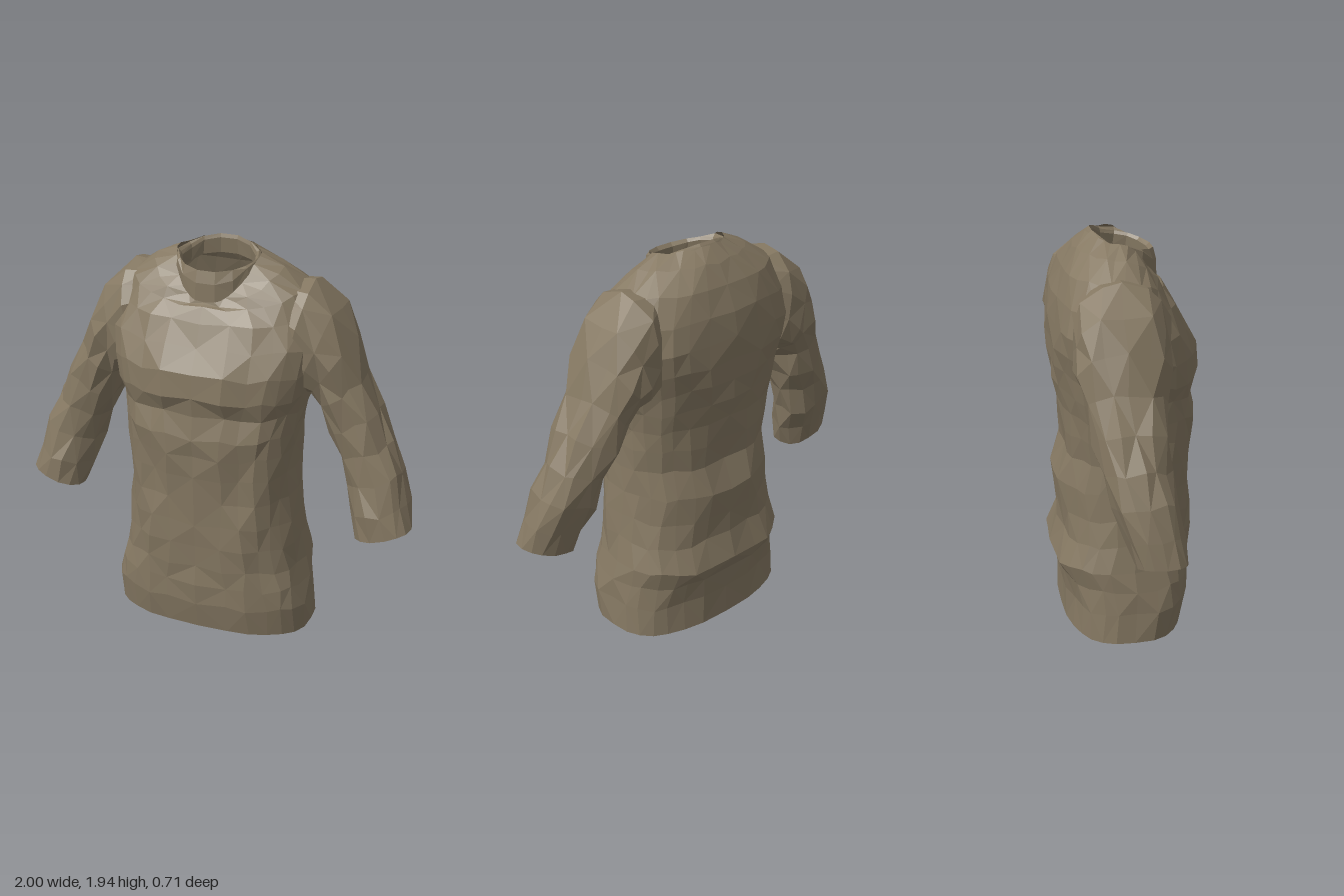
import * as THREE from 'three';

// Crumple: a repeatable ripple, the same on both sides of x = 0
function ripple(p, amount) {
  const x = Math.abs(p.x), { y, z } = p;
  const wave = (k) => Math.sin(31 * x + 19 * y + 7 * z + k) * Math.sin(13 * x - 23 * y + 29 * z + 2 * k);
  const side = Math.sign(p.x) * Math.min(1, x * 8);
  return new THREE.Vector3(p.x + side * amount * wave(1), y + amount * wave(3), z + amount * wave(5));
}

// Skin a list of closed rings, with the diagonals alternating like folded cloth
function loft(rings) {
  const n = rings[0].length;
  const positions = rings.flat().flatMap((p) => [p.x, p.y, p.z]);
  const index = [];
  for (let i = 0; i < rings.length - 1; i++) {
    for (let j = 0; j < n; j++) {
      const k = (j + 1) % n;
      const a = i * n + j, b = a + n, c = i * n + k, d = c + n;
      if ((i + j) % 2) index.push(a, b, c, c, b, d);
      else index.push(a, b, d, a, d, c);
    }
  }
  const geometry = new THREE.BufferGeometry();
  geometry.setAttribute('position', new THREE.Float32BufferAttribute(positions, 3));
  geometry.setIndex(index);
  const flat = geometry.toNonIndexed();
  flat.computeVertexNormals();
  return flat;
}

const power = (v, e) => Math.sign(v) * Math.abs(v) ** e;

// Horizontal ring whose front, side and back may sit at different heights
function bodyRing([yFront, ySide, yBack, width, zFront, zBack], n, e, amount) {
  const ring = [];
  const zMid = (zFront + zBack) / 2;
  for (let j = 0; j < n; j++) {
    const t = (j / n) * Math.PI * 2;
    const c = Math.cos(t), s = Math.sin(t);
    const y = ySide + ((s > 0 ? yFront : yBack) - ySide) * Math.abs(s) ** 1.5;
    const z = zMid + power(s, e) * (zFront - zBack) / 2;
    ring.push(ripple(new THREE.Vector3(width * power(c, e), y, z), amount));
  }
  return ring;
}

// Sleeve ring spanning an outer and an inner (underarm) point
function sleeveRing([xo, yo, xi, yi, zFront, zBack], n, side, amount) {
  const ring = [];
  for (let j = 0; j < n; j++) {
    const t = side * (j / n) * Math.PI * 2;
    const c = power(Math.cos(t), 0.9), s = power(Math.sin(t), 0.9);
    const x = (xo + xi) / 2 + c * (xo - xi) / 2;
    const y = (yo + yi) / 2 + c * (yo - yi) / 2;
    const z = (zFront + zBack) / 2 + s * (zFront - zBack) / 2;
    ring.push(ripple(new THREE.Vector3(side * x, y, z), amount));
  }
  return ring;
}

export function createModel() {
  const group = new THREE.Group();
  const cloth = new THREE.MeshStandardMaterial({ color: 0x857862, flatShading: true, side: THREE.DoubleSide });
  cloth.name = 'brown cloth';
  const add = (name, geometry) => {
    const mesh = new THREE.Mesh(geometry, cloth);
    mesh.name = name;
    group.add(mesh);
  };

  // Torso: front, side and back height, half width, front z, back z
  const trunk = [
    [0.02, 0.01, 0.0, 0.505, 0.285, -0.3],
    [0.17, 0.16, 0.15, 0.5, 0.315, -0.3],
    [0.28, 0.27, 0.26, 0.485, 0.32, -0.315],
    [0.38, 0.37, 0.35, 0.465, 0.32, -0.35],
    [0.5, 0.5, 0.48, 0.445, 0.325, -0.31],
    [0.62, 0.62, 0.6, 0.43, 0.325, -0.31],
    [0.74, 0.75, 0.74, 0.415, 0.32, -0.32],
    [0.87, 0.88, 0.88, 0.41, 0.325, -0.275],
    [0.98, 1.0, 1.0, 0.415, 0.335, -0.285],
    [1.08, 1.1, 1.12, 0.425, 0.345, -0.295],
    [1.19, 1.2, 1.22, 0.445, 0.32, -0.32],
    [1.28, 1.28, 1.32, 0.465, 0.35, -0.335],
    [1.4, 1.4, 1.42, 0.49, 0.34, -0.345],
    [1.52, 1.52, 1.53, 0.5, 0.29, -0.345],
  ].map((r, i) => bodyRing(r, 28, 0.76, i === 0 ? 0.003 : 0.014));
  const shoulders = [
    [1.62, 1.66, 1.65, 0.49, 0.235, -0.325],
    [1.68, 1.77, 1.77, 0.43, 0.195, -0.28],
    [1.69, 1.85, 1.86, 0.31, 0.18, -0.215],
    [1.7, 1.895, 1.92, 0.2, 0.17, -0.155],
  ].map((r, i) => bodyRing(r, 28, [0.8, 0.88, 0.95, 1][i], 0.009));
  const hem = [
    [0.12, 0.11, 0.1, 0.48, 0.285, -0.275],
    [0.025, 0.015, 0.005, 0.485, 0.265, -0.28],
  ].map((r) => bodyRing(r, 28, 0.76, 0.003));
  add('torso', loft([...hem, ...trunk, ...shoulders]));

  // Collar: stands up at the front, then folds down inside
  const collar = [
    [1.69, 1.885, 1.915, 0.203, 0.172, -0.158],
    [1.78, 1.89, 1.925, 0.195, 0.172, -0.15],
    [1.845, 1.875, 1.937, 0.182, 0.155, -0.137],
    [1.83, 1.86, 1.92, 0.175, 0.138, -0.128],
    [1.74, 1.8, 1.85, 0.185, 0.14, -0.14],
  ].map((r) => bodyRing(r, 14, 0.95, 0.005));
  add('collar', loft(collar));

  // Sleeves, cuff to shoulder: outer x y, underarm x y, front z, back z
  const sleeve = [
    [0.955, 0.72, 0.735, 0.66, 0.125, -0.06],
    [0.98, 0.65, 0.75, 0.58, 0.135, -0.06],
    [0.998, 0.655, 0.73, 0.575, 0.155, -0.08],
    [0.97, 0.78, 0.7, 0.69, 0.15, -0.12],
    [0.925, 0.92, 0.66, 0.82, 0.115, -0.17],
    [0.87, 1.06, 0.61, 0.96, 0.1, -0.2],
    [0.8, 1.21, 0.565, 1.08, 0.1, -0.23],
    [0.715, 1.36, 0.52, 1.2, 0.11, -0.255],
    [0.66, 1.53, 0.47, 1.27, 0.13, -0.28],
    [0.58, 1.68, 0.42, 1.27, 0.16, -0.3],
    [0.46, 1.795, 0.37, 1.3, 0.17, -0.29],
    [0.34, 1.79, 0.33, 1.36, 0.12, -0.24],
  ];
  for (const side of [1, -1]) {
    const rings = sleeve.map((r, i) => sleeveRing(r, 14, side, i < 3 ? 0.003 : 0.016));
    add(side > 0 ? 'leftSleeve' : 'rightSleeve', loft(rings));
  }
  return group;
}
